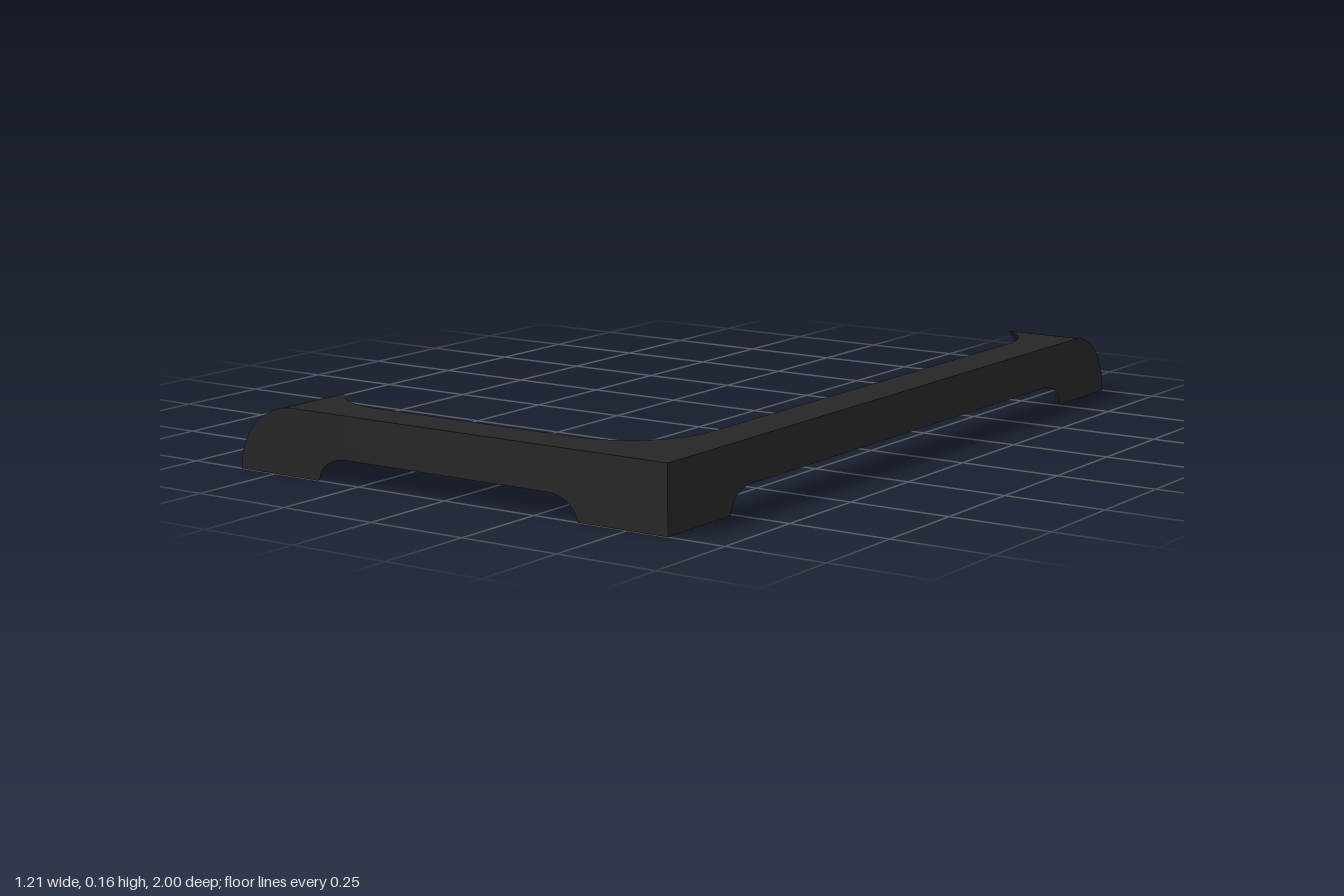
import * as THREE from 'three';
import { toCreasedNormals } from 'three/addons/utils/BufferGeometryUtils.js';

const HALF_X = 0.605, HALF_Z = 1, H = 0.16; // outer half sizes and height
const INSET = 0.32;                         // outer wall to corner-arc centre
const CX = HALF_X - INSET, CZ = HALF_Z - INSET;
const RHO = 0.167;                          // rounding of the hollow's upper edge
const ARC = 80, ROWS = 14;

// Corner radius of the hollow at height y
const hollowRadius = (y) => 0.33 - RHO + Math.sqrt(RHO * RHO - y * y);

// Column of an arm's rounded tip: t = 0 at the straight, t = 1 at the tip.
function tipColumn(t, swap) {
  const [along, across] = swap ? [CZ, CX] : [CX, CZ];
  const at = (y) => {
    const r = hollowRadius(y);
    const reach = INSET - H + Math.sqrt(Math.max(0, H * H - y * y));
    const a = Math.PI / 2 - t * (Math.PI / 2 - Math.acos(reach / r));
    const u = -along - r * Math.cos(a), v = across + r * Math.sin(a);
    const place = (w) => (swap ? [w, y, u] : [u, y, w]);
    return { inner: place(v), outer: place(across + INSET), excess: r * Math.sin(a) - INSET };
  };
  return at;
}

// Column of the square outer corner, at angle a around the arc centre
function cornerColumn(a) {
  const c = Math.cos(a), s = Math.sin(a), m = INSET / Math.max(c, s);
  return (y) => {
    const r = hollowRadius(y);
    return {
      inner: [CX + r * c, y, CZ + r * s],
      outer: [CX + m * c, y, CZ + m * s],
      excess: r - m,
    };
  };
}

// Lowest height at which the hollow no longer breaks through the outer wall
function lowestY(column) {
  if (column(0).excess <= 0) return 0;
  let lo = 0, hi = 0.06;
  for (let i = 0; i < 40; i++) {
    const mid = (lo + hi) / 2;
    if (column(mid).excess > 0) lo = mid; else hi = mid;
  }
  return hi;
}

function buildFrame() {
  // Columns from the front arm's tip, round the corner, to the side arm's tip
  const columns = [];
  for (let i = ARC; i >= 0; i--) columns.push(tipColumn(i / ARC, false));
  for (let i = 0; i <= ARC; i++) columns.push(cornerColumn((1 - i / ARC) * Math.PI / 2));
  for (let i = 0; i <= ARC; i++) columns.push(tipColumn(i / ARC, true));

  // Closed cross-section per column: up the inside, down the outside
  const rings = columns.map((column) => {
    const y0 = lowestY(column), inner = [], outer = [];
    for (let j = 0; j <= ROWS; j++) {
      const p = column(y0 + (H - y0) * Math.sin((j / ROWS) * Math.PI / 2));
      inner.push(new THREE.Vector3(...p.inner));
      outer.unshift(new THREE.Vector3(...p.outer));
    }
    return [...inner, ...outer];
  });

  const positions = [];
  const triangle = (a, b, c) => {
    const area = b.clone().sub(a).cross(c.clone().sub(a)).length();
    if (area > 1e-9) for (const p of [a, b, c]) positions.push(p.x, p.y, p.z);
  };
  const quad = (a, b, c, d) => { triangle(a, b, c); triangle(a, c, d); };

  // Skin between neighbouring cross-sections
  const n = rings[0].length;
  for (let i = 0; i < rings.length - 1; i++) {
    const A = rings[i], B = rings[i + 1];
    for (let j = 0; j < n; j++) {
      const k = (j + 1) % n;
      quad(A[j], A[k], B[k], B[j]);
    }
  }
  // Rounded end faces of both arms
  const first = rings[0], last = rings[rings.length - 1];
  for (let j = 0; j < ROWS; j++) {
    const o = n - 1 - j;
    quad(first[j], first[o], first[o - 1], first[j + 1]);
    quad(last[j], last[j + 1], last[o - 1], last[o]);
  }

  const geometry = new THREE.BufferGeometry();
  geometry.setAttribute('position', new THREE.Float32BufferAttribute(positions, 3));
  return toCreasedNormals(geometry, Math.PI / 6);
}

export function createModel() {
  const group = new THREE.Group();
  group.name = 'cornerBracket';
  const material = new THREE.MeshStandardMaterial({ color: 0x262626 });
  const frame = new THREE.Mesh(buildFrame(), material);
  frame.name = 'angledFrame';
  group.add(frame);
  return group;
}
